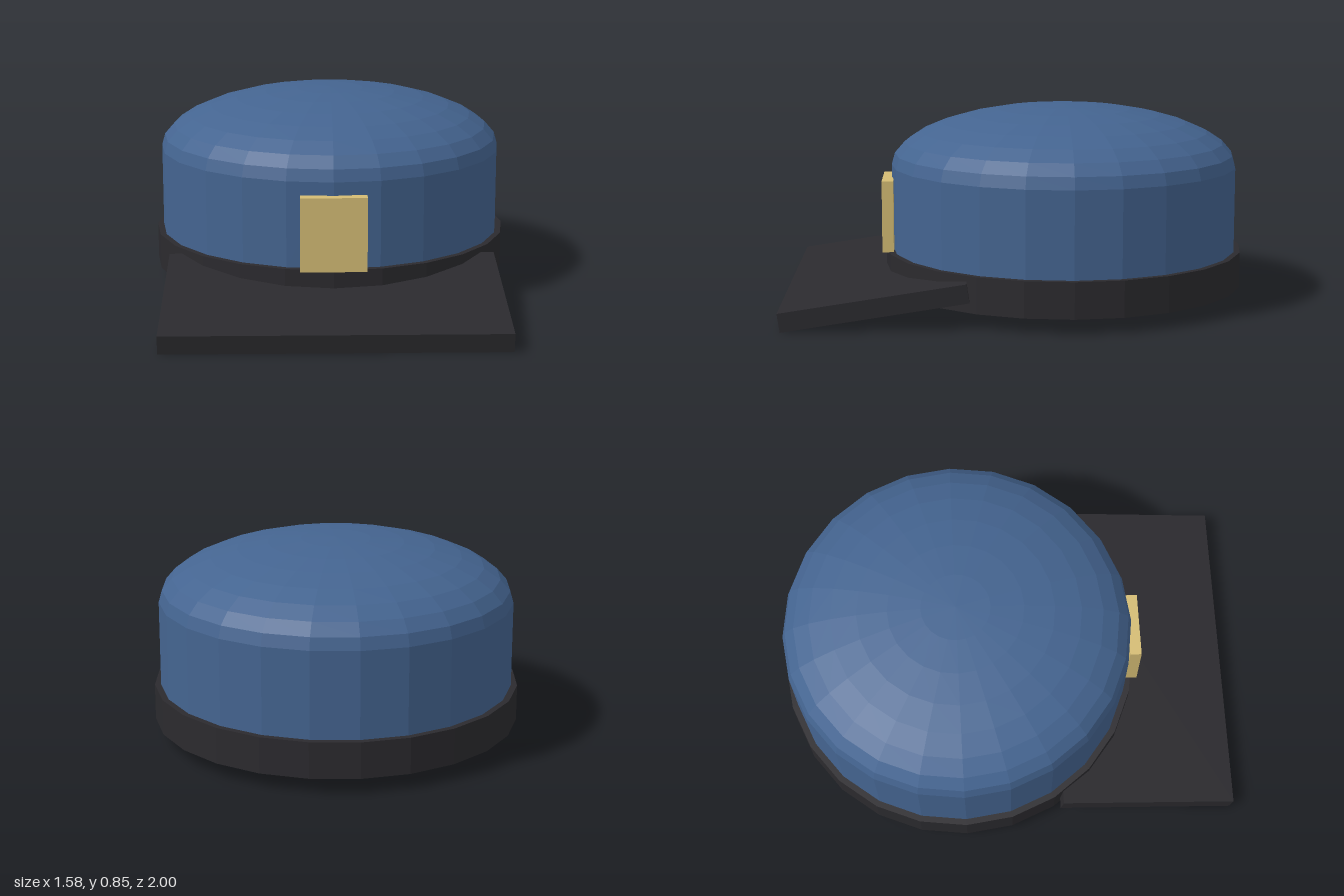
import * as THREE from 'three';

const SIDES = 24;
const CENTER_Z = -0.21;

export function createModel() {
  const group = new THREE.Group();
  const material = (color) => new THREE.MeshStandardMaterial({ color, flatShading: true });
  const blue = material(0x446490);
  const black = material(0x2b2a2e);
  const gold = material(0xd4bc74);

  const add = (name, geometry, mat, x, y, z) => {
    const mesh = new THREE.Mesh(geometry, mat);
    mesh.name = name;
    mesh.position.set(x, y, z);
    group.add(mesh);
    return mesh;
  };

  // Wide band round the foot of the cap
  add('band', new THREE.CylinderGeometry(0.79, 0.79, 0.155, SIDES), black, 0, 0.1425, CENTER_Z);

  // Upright wall of the crown
  add('crownWall', new THREE.CylinderGeometry(0.763, 0.763, 0.37, SIDES, 1, true), blue, 0, 0.405, CENTER_Z);

  // Flattened half sphere closing the crown
  const dome = new THREE.SphereGeometry(0.763, SIDES, 8, 0, Math.PI * 2, 0, Math.PI / 2);
  dome.scale(1, 0.265 / 0.763, 1);
  add('crownDome', dome, blue, 0, 0.59, CENTER_Z);

  // Flat visor sloping down to the front
  const visor = add('visor', new THREE.BoxGeometry(1.415, 0.08, 0.782), black, 0, 0.098, 0.607);
  visor.rotation.x = 0.15;

  // Plain plate on the front of the crown
  add('frontPlate', new THREE.BoxGeometry(0.28, 0.317, 0.05), gold, 0, 0.375, 0.568);

  return group;
}
